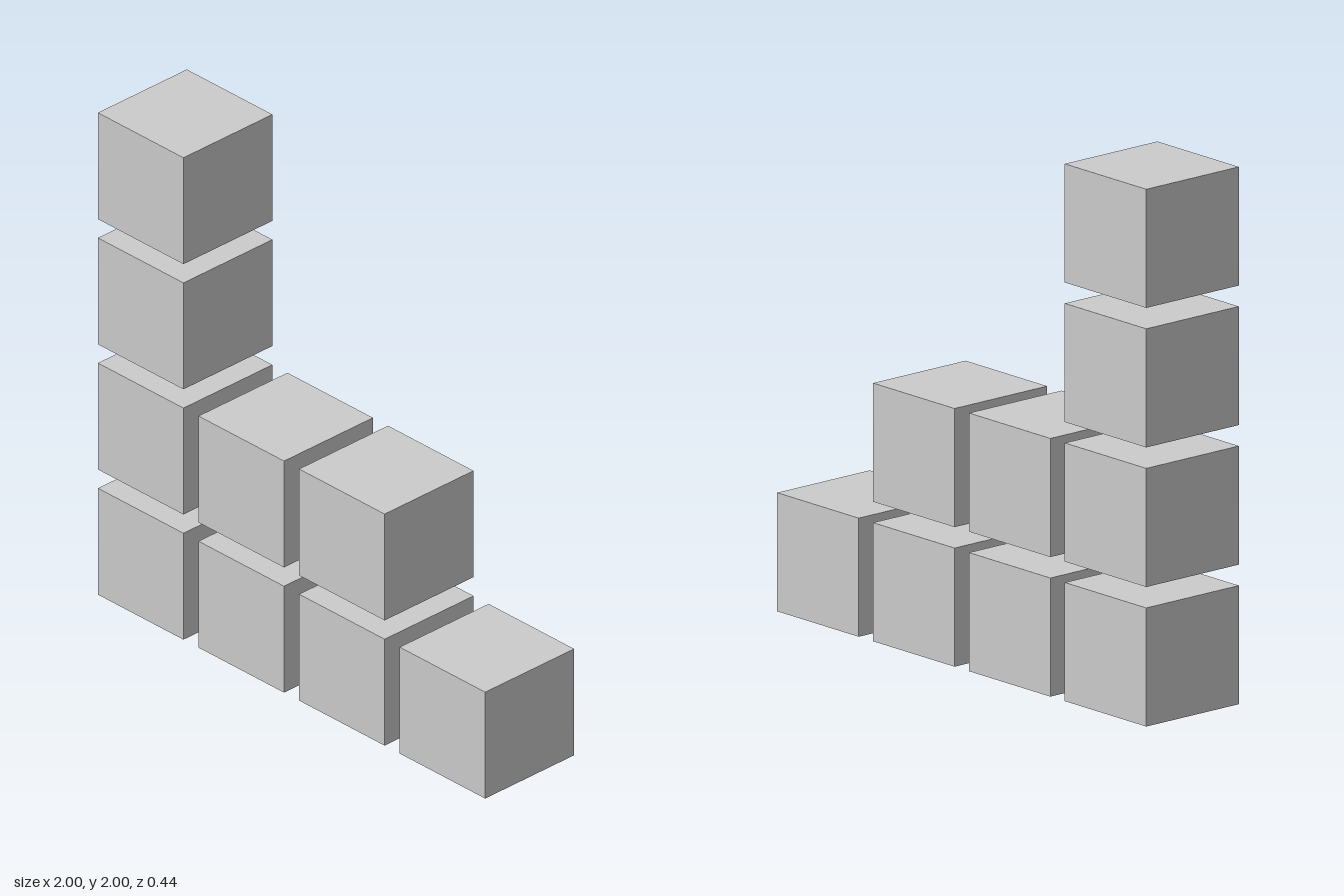
import * as THREE from 'three';

export function createModel() {
  const model = new THREE.Group();
  model.name = 'cubeStack';

  // Four cubes with three gaps span exactly 2 units; each cube fills 85% of its cell
  const pitch = 2 / 3.85;
  const size = pitch * 0.85;
  const geometry = new THREE.BoxGeometry(size, size, size);
  const material = new THREE.MeshStandardMaterial({ color: 0xcccccc, flatShading: true });

  // Number of cubes in each column, from -x to +x
  const columnHeights = [4, 2, 2, 1];

  columnHeights.forEach((height, c) => {
    const column = new THREE.Group();
    column.name = `column${c + 1}`;
    column.position.x = (c - 1.5) * pitch;
    for (let r = 0; r < height; r++) {
      const cube = new THREE.Mesh(geometry, material);
      cube.name = `cube${r + 1}`;
      cube.position.y = size / 2 + r * pitch;
      column.add(cube);
    }
    model.add(column);
  });

  return model;
}
